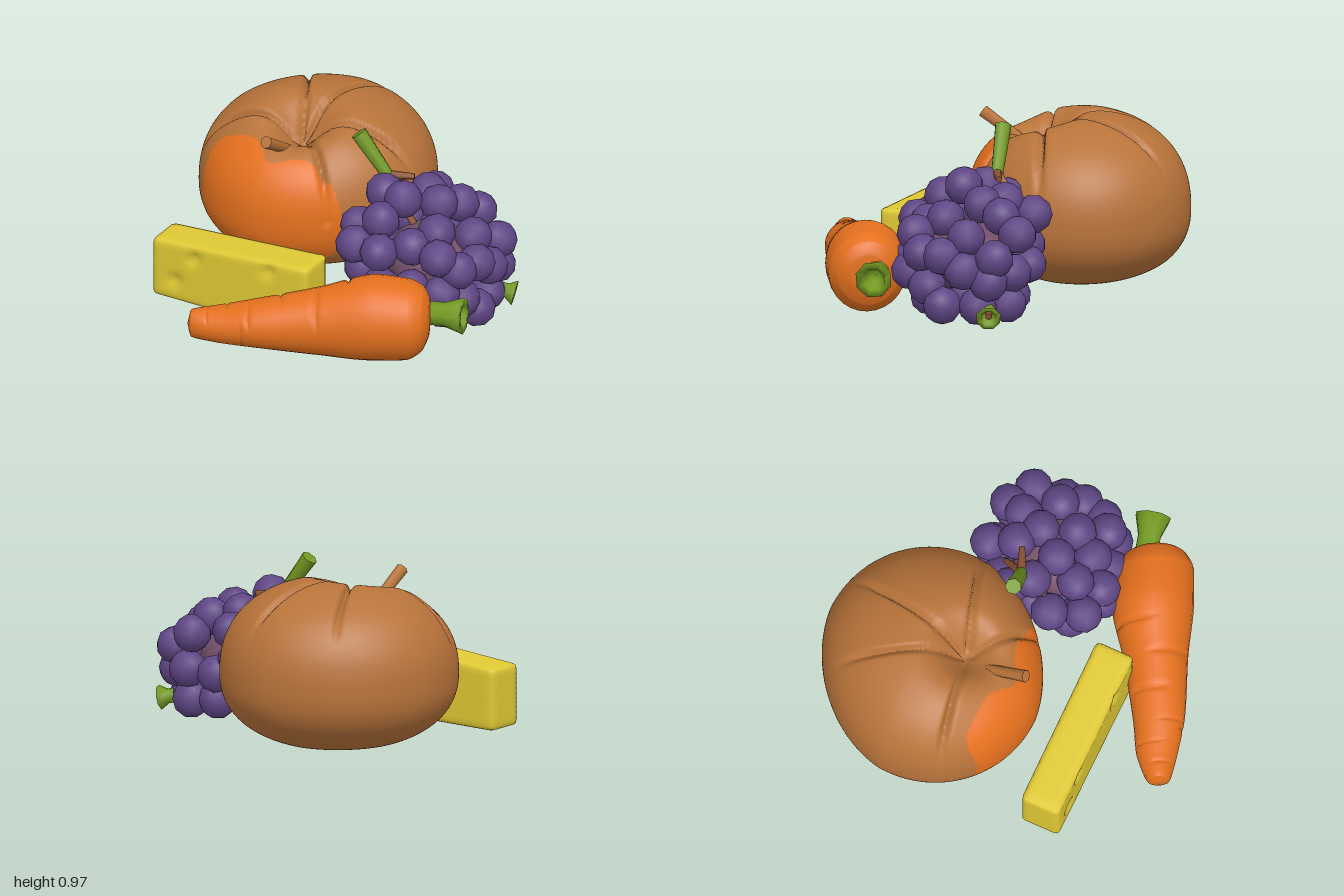
import * as THREE from 'three';
import { mergeVertices } from 'three/addons/utils/BufferGeometryUtils.js';

const mat = (name, color, side = THREE.FrontSide) => {
  const m = new THREE.MeshStandardMaterial({ color, side });
  m.name = name;
  return m;
};
const V = (x, y, z) => new THREE.Vector3(x, y, z);

// Closed ring surface: f(u, v) gives a point, u runs around and v along.
// isSecond(point) sends a face to the second material.
function ringSurface(nu, nv, f, isSecond = () => false) {
  const pts = [], first = [], second = [];
  for (let j = 0; j <= nv; j++)
    for (let i = 0; i < nu; i++) pts.push(f((i / nu) * Math.PI * 2, j / nv));
  for (let j = 0; j < nv; j++) {
    for (let i = 0; i < nu; i++) {
      const k = (i + 1) % nu;
      const a = j * nu + i, b = a + nu, c = j * nu + k, d = c + nu;
      for (const t of [[a, b, c], [b, d, c]]) {
        const mid = V(0, 0, 0);
        t.forEach((n) => mid.addScaledVector(pts[n], 1 / 3));
        (isSecond(mid) ? second : first).push(...t);
      }
    }
  }
  const g = new THREE.BufferGeometry().setFromPoints(pts);
  g.setIndex([...first, ...second]);
  g.addGroup(0, first.length, 0);
  g.addGroup(first.length, second.length, 1);
  g.computeVertexNormals();
  return g;
}

export function createModel() {
  const brown = mat('pumpkin brown', 0xb8733a);
  const orange = mat('bright orange', 0xe4701e);
  const yellow = mat('cheese yellow', 0xe0c934);
  const purple = mat('grape purple', 0x5f4685);
  const mauve = mat('dusky mauve', 0x74506a);
  const green = mat('stem green', 0x739a22, THREE.DoubleSide);
  const twigBrown = mat('twig brown', 0x8a5230);

  const model = new THREE.Group();
  model.name = 'harvestFood';
  const add = (name, geo, material, parent = model) => {
    const m = new THREE.Mesh(geo, material);
    m.name = name;
    parent.add(m);
    return m;
  };
  // Straight tapered rod between two points
  const rod = (name, a, b, ra, rb, material, parent) => {
    const m = add(name, new THREE.CylinderGeometry(rb, ra, a.distanceTo(b), 7), material, parent);
    m.position.copy(a).lerp(b, 0.5);
    m.quaternion.setFromUnitVectors(V(0, 1, 0), b.clone().sub(a).normalize());
  };
  // Hollow flared stub, open at its far end
  const stub = (name, a, b, ra, rb, parent) => {
    const h = a.distanceTo(b);
    const profile = [[ra, 0], [ra, h * 0.5], [rb, h], [rb * 0.6, h], [ra * 0.55, h * 0.4], [0, h * 0.4]];
    const m = add(name, new THREE.LatheGeometry(profile.map((p) => new THREE.Vector2(...p)), 8), green, parent);
    m.position.copy(a);
    m.quaternion.setFromUnitVectors(V(0, 1, 0), b.clone().sub(a).normalize());
  };

  // Pumpkin: full-bellied, slightly oval ball with a stem hollow, creases and an orange front lobe
  const pumpkin = new THREE.Group();
  pumpkin.name = 'pumpkin';
  model.add(pumpkin);
  const creases = [[0.11, -0.76], [-0.36, -0.61], [-0.56, 0.12], [0.59, -0.23], [0.36, 0.27]];
  const full = (n) => Math.sign(n) * Math.abs(n) ** 0.87;
  const pumpkinPoint = (u, v) => {
    const a = (v - 0.5) * Math.PI;
    const skew = Math.sin(2 * u);
    const oval = 1 - (skew > 0 ? 0.07 : 0.025) * skew;
    const r = 0.622 * oval * full(Math.max(0, Math.cos(a)));
    const p = V(r * Math.cos(u), (a > 0 ? 0.505 : 0.4) * full(Math.sin(a)), r * Math.sin(u));
    const dx = p.x - 0.03, dz = p.z - 0.2;
    let drop = 0;
    if (p.y > 0) {
      for (const [cx, cz] of creases) {
        const len = Math.hypot(cx, cz);
        const along = (dx * cx + dz * cz) / len;
        const across = (dx * cz - dz * cx) / len;
        if (along > 0 && along < len)
          drop = Math.max(drop, 0.08 * Math.exp(-((across / 0.017) ** 2)) * Math.min(1, 4 * (1 - along / len)));
      }
    }
    const hollow = p.y > 0 ? 0.18 * Math.exp(-(dx * dx + dz * dz) / 0.022) : 0;
    const dent = p.y < 0 ? 0.1 * Math.exp(-(p.x * p.x + p.z * p.z) / 0.012) : 0;
    const frontSag = 0.07 * Math.max(0, p.y) * THREE.MathUtils.smoothstep(p.z, 0.22, 0.42);
    p.multiplyScalar(1 - drop);
    p.y += dent - hollow - frontSag;
    return p.add(V(-0.375, 0.43, -0.375));
  };
  const onFrontLobe = (p) =>
    p.z > 0.02 + 0.1 * Math.exp(-(((p.x + 0.35) / 0.1) ** 2)) &&
    (Math.abs(p.x + 0.365) / 0.42) ** 4 + (Math.abs(p.y - 0.4) / 0.41) ** 4 < 1;
  add('pumpkinBody', ringSurface(220, 110, pumpkinPoint, onFrontLobe), [brown, orange], pumpkin);
  rod('pumpkinStem', V(-0.36, 0.68, -0.16), V(-0.34, 0.89, 0.17), 0.025, 0.034, brown, pumpkin);
  rod('pumpkinBase', V(-0.37, 0.14, -0.375), V(-0.36, 0.05, -0.37), 0.03, 0.03, brown, pumpkin);

  // Cheese: soft-edged slab, taller at one end, with shallow dents in front
  const block = new THREE.BoxGeometry(0.96, 0.36, 0.22, 32, 14, 8);
  block.deleteAttribute('normal');
  block.deleteAttribute('uv');
  const cheese = mergeVertices(block);
  const dents = [[-0.34, -0.06], [-0.22, 0.1], [0.24, 0.12]];
  const cp = cheese.attributes.position;
  for (let i = 0; i < cp.count; i++) {
    const p = V(0, 0, 0).fromBufferAttribute(cp, i);
    const half = V(0.455, 0.155, 0.085);
    const inner = p.clone().clamp(half.clone().negate(), half);
    const out = p.clone().sub(inner);
    if (out.lengthSq() > 0) p.copy(inner).add(out.setLength(0.025));
    if (p.z > 0.1)
      for (const [x, y] of dents) p.z -= 0.03 * Math.exp(-((p.x - x) ** 2 + (p.y - y) ** 2) / 0.001);
    if (p.y > 0) p.y += 0.035 * (p.x / 0.48) + 0.015;
    cp.setXYZ(i, p.x, p.y, p.z);
  }
  cheese.computeVertexNormals();
  const slab = add('cheese', cheese, yellow);
  slab.position.set(-0.31, 0.21, 0.465);
  slab.rotation.y = 0.055;

  // Carrot: oval sections [x, y, z, half width, half height] from tip to crown
  const sections = [
    [-0.31, 0.16, 0.955, 0.005, 0.005], [-0.295, 0.16, 0.945, 0.06, 0.075], [-0.17, 0.16, 0.87, 0.11, 0.1],
    [0, 0.18, 0.79, 0.138, 0.128], [0.3, 0.205, 0.61, 0.175, 0.185], [0.55, 0.235, 0.46, 0.22, 0.233],
    [0.72, 0.24, 0.38, 0.21, 0.22], [0.79, 0.25, 0.345, 0.165, 0.175], [0.82, 0.26, 0.33, 0.1, 0.1],
    [0.825, 0.26, 0.325, 0.005, 0.005]];
  const spine = new THREE.CatmullRomCurve3(sections.map((s) => V(s[0], s[1], s[2])));
  const radii = new THREE.CatmullRomCurve3(sections.map((s) => V(s[3], s[4], 0)));
  // Nicks: [position along, angle around]
  const nicks = [[0.18, 1.2], [0.25, 2.2], [0.32, 0.9], [0.38, 1.9], [0.44, 1.0], [0.5, 2.3], [0.3, -0.4]];
  const carrotPoint = (u, v) => {
    const r = radii.getPoint(v);
    let cut = 1;
    for (const [t, a] of nicks)
      if (Math.cos(u - a) > 0.8) cut -= 0.09 * Math.exp(-(((v - t) / 0.004) ** 2));
    const w = Math.max(r.x, 0.001) * cut * Math.cos(u);
    return spine.getPoint(v).add(V(0.5 * w, Math.max(r.y, 0.001) * cut * Math.sin(u), 0.86 * w));
  };
  const carrot = new THREE.Group();
  carrot.name = 'carrot';
  model.add(carrot);
  add('carrotRoot', ringSurface(28, 200, carrotPoint), [orange, orange], carrot);
  stub('carrotTop', V(0.77, 0.26, 0.3), V(0.975, 0.27, 0.235), 0.065, 0.1, carrot);

  // Grapes: faceted berries around a small dark core
  const grapes = new THREE.Group();
  grapes.name = 'grapeBunch';
  model.add(grapes);
  const berries = [
    [.4, .68, -.04], [.52, .62, -.2], [.35, .6, .1], [.24, .65, -.1], [.17, .49, .04], [.25, .47, .2], [.42, .48, .22],
    [.55, .5, .1], [.62, .55, -.03], [.72, .48, .1], [.74, .49, -.2], [.83, .4, -.1], [.8, .4, .03], [.35, .55, -.42],
    [.4, .62, -.28], [.61, .5, -.44], [.57, .58, -.33], [.78, .4, -.38], [.83, .33, -.22], [.17, .58, -.2],
    [.25, .3, .12], [.43, .28, .22], [.6, .3, .18], [.75, .28, .12], [.8, .22, 0], [.83, .13, -.1], [.77, .13, -.28],
    [.79, .27, -.35], [.65, .3, -.43], [.45, .3, -.43], [.35, .38, -.38], [.5, .14, -.36], [.65, .13, -.4],
    [.7, .14, .03], [.5, .14, .05], [.35, .15, -.05], [.4, .15, -.22], [.6, .13, -.15], [.22, .37, -.1], [.25, .42, -.3]];
  const ball = new THREE.IcosahedronGeometry(0.104, 1);
  ball.deleteAttribute('normal');
  ball.deleteAttribute('uv');
  const berry = mergeVertices(ball);
  berry.computeVertexNormals();
  berries.forEach(([x, y, z], i) => {
    const m = add('grape', berry, purple, grapes);
    m.position.set(x, y, z);
    m.rotation.set(i * 1.3, i * 2.1, i * 0.7);
  });
  const core = add('grapeCore', new THREE.SphereGeometry(1, 14, 10), mauve, grapes);
  core.position.set(0.53, 0.34, -0.11);
  core.scale.set(0.24, 0.19, 0.24);

  // Grape stalk, its upper fork and the green stubs that poke out of the bunch
  rod('grapeStalk', V(0.22, 0.72, -0.155), V(0.06, 0.94, -0.12), 0.033, 0.045, green, grapes);
  const joint = V(0.22, 0.72, -0.155);
  for (const end of [V(0.5, 0.4, -0.1), V(0.22, 0.55, -0.02), V(0.35, 0.72, -0.22), V(0.28, 0.6, -0.28)])
    rod('grapeFork', joint, end, 0.027, 0.016, twigBrown, grapes);
  stub('grapeEndStub', V(0.8, 0.12, -0.355), V(0.88, 0.1, -0.39), 0.04, 0.068, grapes);
  rod('grapeEndTwig', V(0.78, 0.12, -0.35), V(0.865, 0.105, -0.385), 0.018, 0.018, twigBrown, grapes);
  stub('grapeBottomStub', V(0.46, 0.13, -0.1), V(0.44, 0.04, -0.1), 0.025, 0.04, grapes);

  return model;
}
